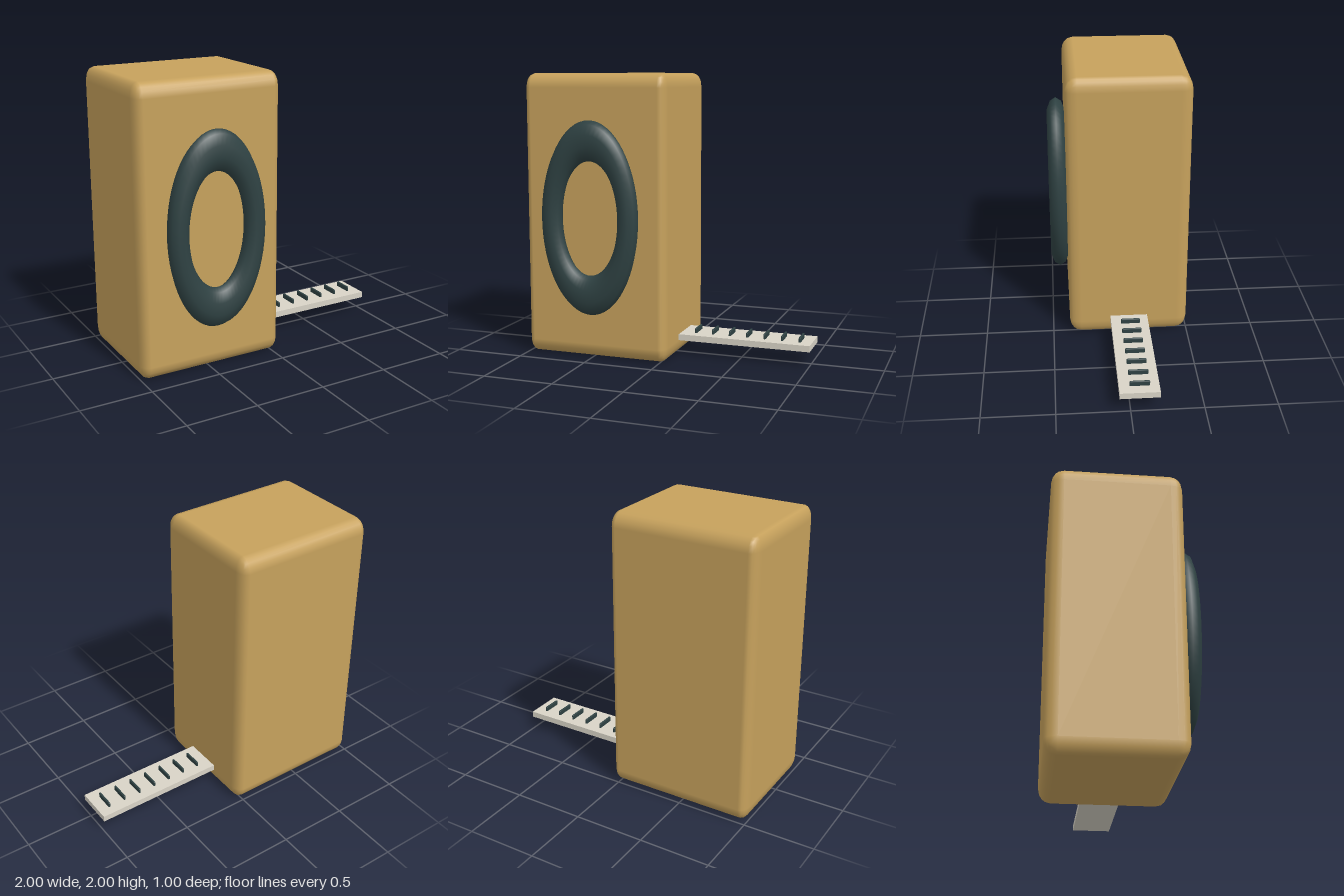
import * as THREE from 'three';
import { RoundedBoxGeometry } from 'three/addons/geometries/RoundedBoxGeometry.js';

const wood = new THREE.MeshStandardMaterial({ color: 0xc6a15c });
wood.name = 'tan wood';
const dark = new THREE.MeshStandardMaterial({ color: 0x2f4243 });
dark.name = 'dark slate';
const pale = new THREE.MeshStandardMaterial({ color: 0xd8d3c6 });
pale.name = 'pale grey';

function add(group, name, geometry, material, x, y, z) {
  const mesh = new THREE.Mesh(geometry, material);
  mesh.name = name;
  mesh.position.set(x, y, z);
  group.add(mesh);
  return mesh;
}

// Box whose rounding differs along each axis
function softBox(w, h, d, rx, ry, rz, segments) {
  const g = new RoundedBoxGeometry(w / rx, h / ry, d / rz, segments, 1);
  return g.scale(rx, ry, rz);
}

export function createModel() {
  const model = new THREE.Group();
  model.name = 'cabinetWithRuler';

  // Tall cabinet with softened edges
  add(model, 'cabinet', softBox(1.05, 2, 0.875, 0.054, 0.1, 0.084, 2), wood, -0.475, 1, -0.0625);

  // Oval ring on the front: a torus stretched upward
  const ring = new THREE.TorusGeometry(1, 0.26, 10, 64);
  ring.scale(0.283, 0.537, 0.07 / 0.26);
  add(model, 'frontRing', ring, dark, -0.475, 1.004, 0.434);

  // Flat ruler sticking out at the side
  add(model, 'ruler', new THREE.BoxGeometry(0.98, 0.044, 0.275), pale, 0.51, 0.123, -0.063);

  // Raised marks along the ruler
  for (let i = 0; i < 7; i++) {
    const mark = softBox(0.016, 0.05, 0.14, 0.006, 0.008, 0.01, 2);
    add(model, 'rulerMark' + (i + 1), mark, dark, 0.155 + i * 0.1265, 0.155, -0.067);
  }
  return model;
}
